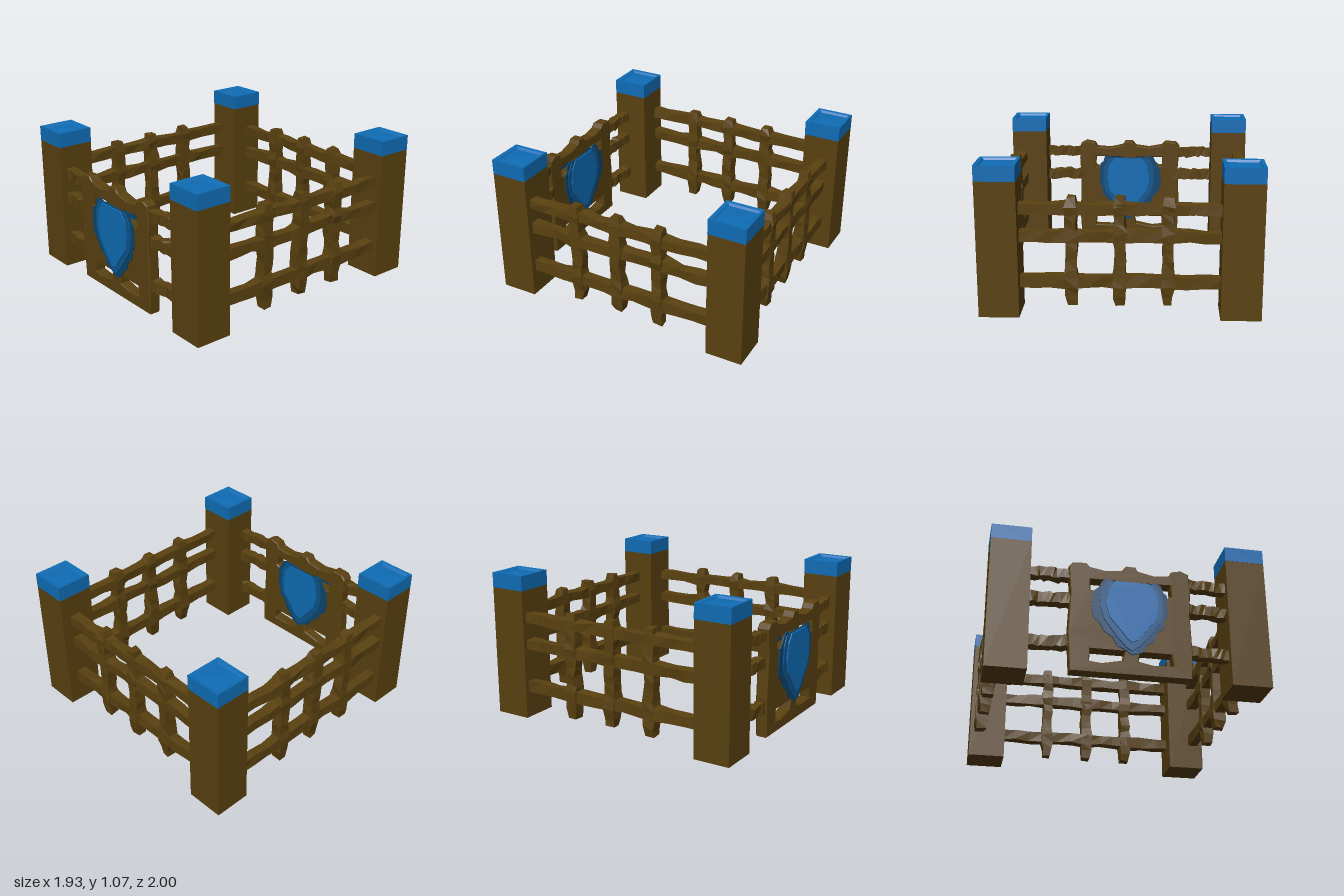
import * as THREE from 'three';

const mat = (name, color) => {
  const m = new THREE.MeshStandardMaterial({ color });
  m.name = name;
  return m;
};

// Repeatable pseudo-random value in -1..1 for a point
function noise(x, y, z, seed) {
  const s = Math.sin(Math.round(x * 997) * 12.9898 + Math.round(y * 997) * 78.233
    + Math.round(z * 997) * 37.719 + seed * 4.137) * 43758.5453;
  return (s - Math.floor(s)) * 2 - 1;
}

// Faceted normals
function faceted(geo) {
  const g = geo.index ? geo.toNonIndexed() : geo;
  g.computeVertexNormals();
  return g;
}

function mesh(name, geo, material) {
  const m = new THREE.Mesh(faceted(geo), material);
  m.name = name;
  return m;
}

// Rough-hewn beam along x: swells at the joints, tapers at free ends, wobbles everywhere
function beam(length, height, depth, joints, taper, seed) {
  const geo = new THREE.BoxGeometry(length, height, depth, 12, 1, 1);
  const p = geo.attributes.position;
  for (let i = 0; i < p.count; i++) {
    const x = p.getX(i), y = p.getY(i), z = p.getZ(i);
    const near = joints.some(j => Math.abs(x - j) < length / 20);
    const end = Math.abs(x) > length / 2 - 0.001;
    const k = (near ? 1.1 : 0.95) * (end ? taper : 1);
    p.setXYZ(i,
      x + (end ? 0.006 : 0.016) * noise(x, y, z, seed),
      y * k + 0.007 * noise(x, y, z, seed + 1) + 0.006 * noise(x, 0, 0, seed),
      z * k + 0.006 * noise(x, y, z, seed + 2) + 0.005 * noise(x, 0, 0, seed + 3));
  }
  return geo;
}

const toShape = pts => new THREE.Shape(pts.map(([x, y]) => new THREE.Vector2(x, y)));
const RAILS = [[0.755, 0.075], [0.56, 0.08], [0.235, 0.085]];

export function createModel() {
  const wood = mat('brown wood', 0x5a4110);
  const blue = mat('bright blue', 0x0f6db6);
  const midBlue = mat('medium blue', 0x0c568e);
  const darkBlue = mat('dark blue', 0x0b4670);
  const root = new THREE.Group();
  root.name = 'fencedPen';

  // Corner posts with dished caps
  const capProfile = [[0, 0], [1, 0], [1, 0.11], [0.84, 0.107], [0.76, 0.092], [0, 0.1]]
    .map(([r, y]) => new THREE.Vector2(r, y));
  for (const x of [-0.83, 0.825]) {
    for (const z of [-0.863, 0.845]) {
      const corner = new THREE.Group();
      corner.name = 'cornerPost';
      corner.position.set(x, 0, z);
      const post = mesh('post', new THREE.BoxGeometry(0.28, 0.96, 0.27), wood);
      post.position.y = 0.48;
      const capGeo = new THREE.LatheGeometry(capProfile, 4).rotateY(Math.PI / 4);
      capGeo.scale(0.14 * Math.SQRT2, 1, 0.136 * Math.SQRT2);
      const cap = mesh('postCap', capGeo, blue);
      cap.position.y = 0.96;
      corner.add(post, cap);
      root.add(corner);
    }
  }

  // Fence panel running along its own x
  function fencePanel(name, length, seed) {
    const panel = new THREE.Group();
    panel.name = name;
    RAILS.forEach(([y, h], i) => {
      const rail = mesh('rail', beam(length, h, 0.078, [-0.33, 0, 0.33], 1, seed + i * 7), wood);
      rail.position.y = y;
      panel.add(rail);
    });
    [-0.33, 0, 0.33].forEach((x, i) => {
      const geo = beam(0.77, 0.082, 0.088, [0.3, 0.105, -0.22], 0.82, seed + 30 + i * 5);
      const picket = mesh('picket', geo.rotateZ(Math.PI / 2), wood);
      picket.position.set(x, 0.453, 0);
      panel.add(picket);
    });
    return panel;
  }
  const back = fencePanel('backFence', 1.42, 3);
  back.position.z = -0.882;
  root.add(back);
  for (const [name, x, seed] of [['leftFence', 0.885, 61], ['rightFence', -0.9, 113]]) {
    const side = fencePanel(name, 1.48, seed);
    side.rotation.y = Math.PI / 2;
    side.position.set(x, 0, 0.005);
    root.add(side);
  }

  // Short rails either side of the gate
  for (const s of [-1, 1]) {
    RAILS.forEach(([y, h], i) => {
      const rail = mesh('gateRail', beam(0.36, h, 0.075, [], 1, 170 + s * 9 + i * 4), wood);
      rail.position.set(s * 0.56, y, 0.908);
      rail.rotation.y = -s * -0.08;
      root.add(rail);
    });
  }

  // Gate slab with openings at top and bottom
  const gateShape = toShape([
    [-0.415, 0.015], [0.41, 0.015], [0.42, 0.2], [0.41, 0.5], [0.42, 0.7], [0.41, 0.82],
    [0.36, 0.845], [0.29, 0.83], [0.27, 0.795], [0.16, 0.785], [0.05, 0.81], [0.035, 0.84],
    [-0.03, 0.842], [-0.06, 0.805], [-0.17, 0.79], [-0.28, 0.81], [-0.31, 0.84],
    [-0.4, 0.835], [-0.43, 0.8], [-0.415, 0.6], [-0.43, 0.3]]);
  const openings = [
    [[-0.285, 0.1], [-0.2, 0.09], [-0.06, 0.12], [-0.045, 0.185], [-0.28, 0.185]],
    [[0.05, 0.12], [0.15, 0.1], [0.285, 0.105], [0.275, 0.185], [0.055, 0.185]],
    [[-0.28, 0.63], [-0.06, 0.63], [-0.06, 0.71], [-0.28, 0.71]],
    [[0.06, 0.63], [0.26, 0.62], [0.285, 0.635], [0.28, 0.715], [0.06, 0.71]]];
  gateShape.holes = openings.map(toShape);
  const gate = mesh('gate', new THREE.ExtrudeGeometry(gateShape, {
    depth: 0.07, bevelEnabled: true, bevelThickness: 0.008, bevelSize: 0.006,
    bevelOffset: -0.006, bevelSegments: 1 }), wood);
  gate.position.z = 0.893;
  root.add(gate);

  // Layered shield, on both faces of the gate
  const layers = [
    ['shieldRim', darkBlue, [
      [0, 0.16], [0.07, 0.18], [0.1, 0.23], [0.15, 0.27], [0.17, 0.33], [0.225, 0.38],
      [0.23, 0.44], [0.25, 0.47], [0.25, 0.63], [0.225, 0.65], [0.21, 0.7], [0.17, 0.72],
      [0.13, 0.705], [-0.12, 0.705], [-0.16, 0.725], [-0.2, 0.7], [-0.225, 0.65],
      [-0.26, 0.62], [-0.275, 0.5], [-0.26, 0.42], [-0.21, 0.37], [-0.19, 0.32],
      [-0.13, 0.28], [-0.1, 0.22], [-0.04, 0.19]]],
    ['shieldBand', midBlue, [
      [0, 0.185], [0.05, 0.22], [0.11, 0.29], [0.2, 0.41], [0.22, 0.5], [0.215, 0.62],
      [0.17, 0.7], [-0.17, 0.7], [-0.205, 0.63], [-0.215, 0.5], [-0.19, 0.41],
      [-0.1, 0.28], [-0.04, 0.21]]],
    ['shieldFace', blue, [
      [0, 0.245], [0.04, 0.265], [0.09, 0.33], [0.17, 0.43], [0.185, 0.53], [0.17, 0.64],
      [0.12, 0.7], [-0.11, 0.7], [-0.155, 0.64], [-0.175, 0.52], [-0.15, 0.42],
      [-0.07, 0.32], [-0.03, 0.265]]]];
  layers.forEach(([name, material, pts], i) => {
    const depth = 0.009;
    for (const side of ['Front', 'Back']) {
      const geo = new THREE.ExtrudeGeometry(toShape(pts), { depth, bevelEnabled: false });
      const plate = mesh(name + side, geo, material);
      plate.position.z = side === 'Front' ? 0.97 + i * depth : 0.877 - i * 0.006;
      root.add(plate);
    }
  });
  return root;
}
